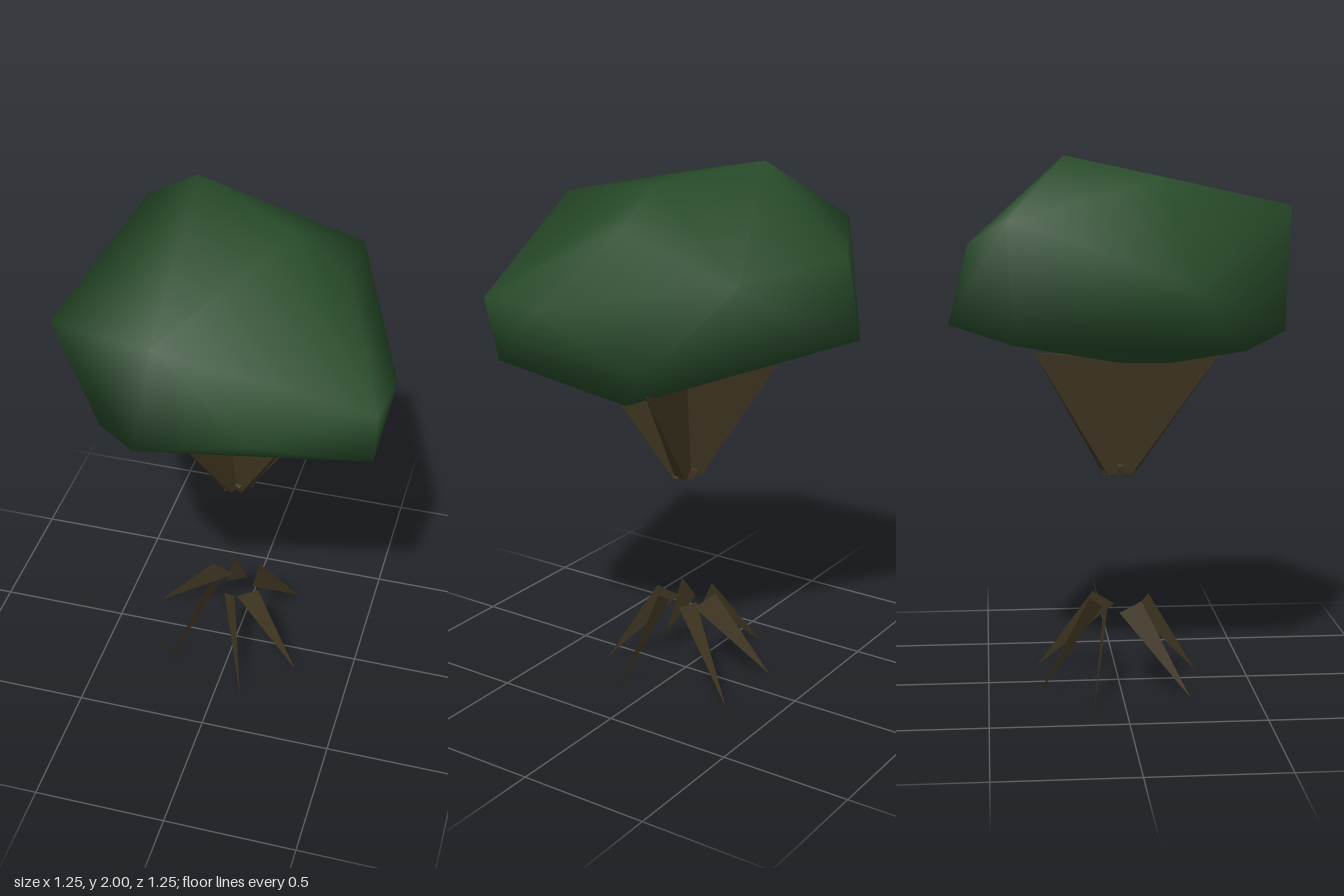
import * as THREE from 'three';
import { mergeVertices } from 'three/addons/utils/BufferGeometryUtils.js';
import { ConvexGeometry } from 'three/addons/geometries/ConvexGeometry.js';

const leafGreen = new THREE.MeshStandardMaterial({ color: 0x274a29 });
const barkBrown = new THREE.MeshStandardMaterial({ color: 0x403621, side: THREE.DoubleSide });
leafGreen.name = 'leafGreen';
barkBrown.name = 'barkBrown';

const V = (x, y, z) => new THREE.Vector3(x, y, z);

function part(name, geometry, material) {
  const mesh = new THREE.Mesh(geometry, material);
  mesh.name = name;
  return mesh;
}

export function createModel() {
  const tree = new THREE.Group();
  tree.name = 'tree';

  // Leaf crown: one faceted outline with soft shading
  const crownPoints = [
    // top
    [-0.2, 2.0, -0.21], [0.2, 1.95, 0], [-0.26, 1.925, 0.14], [0.4, 1.83, 0], [-0.115, 1.82, 0.625],
    // middle
    [-0.455, 1.78, -0.42], [-0.2, 1.69, -0.555], [0.363, 1.68, -0.457], [-0.628, 1.57, 0.2],
    [0.605, 1.57, 0.446], [0.625, 1.555, 0.216], [0.21, 1.45, 0.572],
    // underside
    [-0.18, 1.4, -0.628], [-0.41, 1.35, -0.4], [-0.38, 1.32, 0.42], [-0.2, 1.37, 0.592],
    [0.59, 1.345, 0.4], [0.5, 1.33, -0.15], [0.38, 1.19, 0], [-0.03, 1.22, 0.1],
  ].map((p) => V(...p));
  let crown = new ConvexGeometry(crownPoints);
  crown.deleteAttribute('normal');
  crown = mergeVertices(crown, 1e-4);
  crown.computeVertexNormals();
  tree.add(part('crown', crown, leafGreen));

  // Flaring branches: wedges from a narrow foot to a tip inside the crown,
  // each with its inner top corners beside the tree's axis, wider on one side
  const branches = new THREE.Group();
  branches.name = 'branches';
  const branchTips = [[-0.14, 1.285, 0.365], [0.285, 1.27, 0.205], [0.37, 1.23, -0.08], [-0.165, 1.295, -0.32]];
  for (const [x, y, z] of branchTips) {
    const r = Math.hypot(x, z);
    const at = (d, h, side) => V((x * d - z * side) / r, h, (z * d + x * side) / r);
    branches.add(part('branch', new ConvexGeometry([
      at(r, y, 0), at(0, 1.25, 0.12), at(0.02, 1.25, -0.06),
      at(0.06, 0.82, 0.02), at(0.06, 0.815, -0.02), at(-0.01, 0.815, 0.035), at(-0.01, 0.82, -0.035),
    ]), barkBrown));
  }

  // Ragged collar where the branches join
  for (let k = 0; k < 6; k++) {
    const a = (k / 6) * Math.PI * 2;
    const stub = part('branchStub', new THREE.BoxGeometry(0.022, 0.04, 0.022), barkBrown);
    stub.position.set(0.055 * Math.cos(a), 0.835, 0.055 * Math.sin(a));
    stub.rotation.set(0.3 * Math.sin(a), a, 0.3 * Math.cos(a));
    branches.add(stub);
  }
  tree.add(branches);

  // Roots: thin twisted blades running out to points on the ground
  const roots = new THREE.Group();
  roots.name = 'roots';
  const rootTips = [[-0.23, 0.25], [0.1, 0.31], [0.28, 0.12], [0.19, -0.31], [-0.13, -0.31], [-0.37, -0.12]];
  for (const [x, z] of rootTips) {
    const angle = Math.atan2(z, x);
    const polar = (r, y, turn) => V(r * Math.cos(angle + turn), y, r * Math.sin(angle + turn));
    const blade = new THREE.BufferGeometry().setFromPoints([
      V(x, 0, z), polar(0.066, 0.285, 0.85), polar(0.12, 0.335, 0.1),
    ]);
    blade.computeVertexNormals();
    roots.add(part('root', blade, barkBrown));
  }
  tree.add(roots);

  return tree;
}
